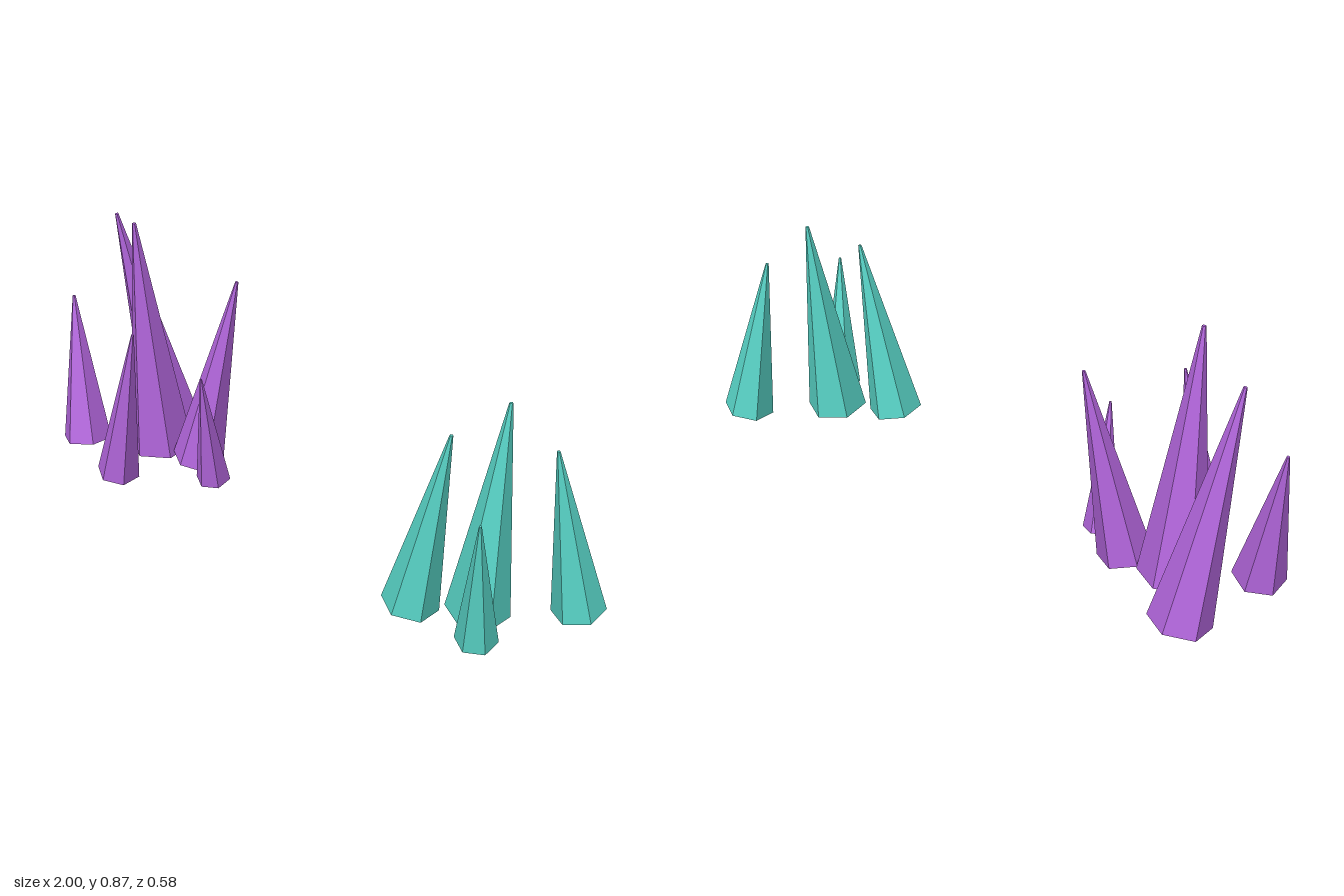
import * as THREE from 'three';

const BASE_Y = 0.018;

// Each crystal: base x, base z, base radius, tip x, tip y, tip z
const PURPLE = [
  [-0.705, -0.02, 0.11, -0.705, 0.868, 0.057],
  [-0.84, -0.193, 0.1, -0.91, 0.805, -0.055],
  [-0.535, -0.025, 0.088, -0.418, 0.69, -0.113],
  [-0.675, 0.215, 0.072, -0.562, 0.578, 0.22],
  [-0.923, 0.127, 0.085, -0.995, 0.525, 0.083],
  [-0.41, 0.03, 0.058, -0.372, 0.44, 0.11],
];
const TEAL = [
  [0.703, 0.045, 0.1, 0.74, 0.725, -0.01],
  [0.527, 0.147, 0.09, 0.633, 0.635, 0.12],
  [0.927, -0.16, 0.084, 0.86, 0.58, -0.085],
  [0.785, 0.16, 0.066, 0.826, 0.468, 0.23],
];

// Tapered hexagonal shard leaning from its base centre to its tip
function crystal([bx, bz, radius, tx, ty, tz], material) {
  const base = new THREE.Vector3(bx, BASE_Y, bz);
  const axis = new THREE.Vector3(tx, ty, tz).sub(base);
  const height = axis.length();
  const geometry = new THREE.CylinderGeometry(radius * 0.06, radius, height, 6);
  geometry.translate(0, height / 2, 0);
  const mesh = new THREE.Mesh(geometry, material);
  mesh.position.copy(base);
  mesh.quaternion.setFromUnitVectors(new THREE.Vector3(0, 1, 0), axis.normalize());
  return mesh;
}

function cluster(name, list, color) {
  const group = new THREE.Group();
  group.name = name + 'Cluster';
  const material = new THREE.MeshStandardMaterial({ color, flatShading: true });
  list.forEach((spec, i) => {
    const mesh = crystal(spec, material);
    mesh.name = name + 'Crystal' + (i + 1);
    group.add(mesh);
  });
  return group;
}

export function createModel() {
  const model = new THREE.Group();
  model.name = 'crystalClusters';
  model.add(cluster('purple', PURPLE, 0xb366dd), cluster('teal', TEAL, 0x58d3c6));
  return model;
}
